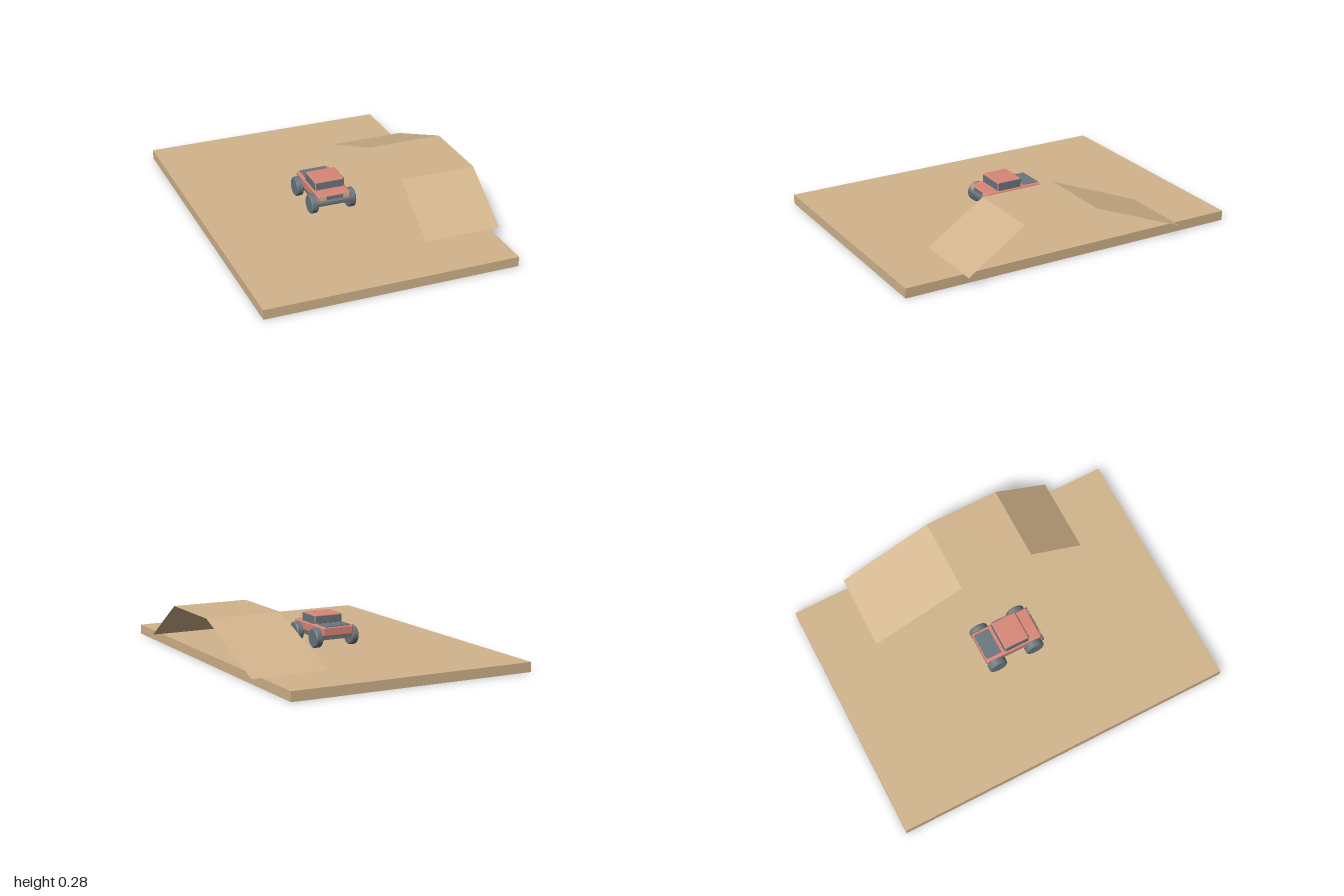
import * as THREE from 'three';
import { RoundedBoxGeometry } from 'three/addons/geometries/RoundedBoxGeometry.js';

function material(name, color, side = THREE.FrontSide) {
  const m = new THREE.MeshStandardMaterial({ color, side });
  m.name = name;
  return m;
}

export function createModel() {
  const tan = material('sand tan', 0xd2b48c);
  const tanSheet = material('ramp tan', 0xd2b48c, THREE.DoubleSide);
  const red = material('coral red', 0xd88676);
  const slate = material('slate grey', 0x69767e);

  const model = new THREE.Group();
  model.name = 'truckAndRamp';

  function add(parent, name, geometry, mat, x = 0, y = 0, z = 0) {
    const mesh = new THREE.Mesh(geometry, mat);
    mesh.name = name;
    mesh.position.set(x, y, z);
    parent.add(mesh);
    return mesh;
  }
  const box = (w, h, d) => new THREE.BoxGeometry(w, h, d);
  const rounded = (w, h, d, r) => new RoundedBoxGeometry(w, h, d, 2, r);

  // Ground slab
  const U = 1 / 18;
  add(model, 'groundSlab', box(26 * U, U, 36 * U), tan, -U / 2, U / 2, 0);

  // Ramp: an open bent sheet with a short front slope, flat top and long back slope
  const profile = [[12 * U, U], [6 * U, 5 * U], [-2 * U, 5 * U], [-12 * U, U]];
  const x0 = 5.5 * U, x1 = 13.5 * U;
  const points = [];
  for (let i = 0; i < 3; i++) {
    const [za, ya] = profile[i], [zb, yb] = profile[i + 1];
    points.push(x0, ya, za, x1, ya, za, x1, yb, zb);
    points.push(x0, ya, za, x1, yb, zb, x0, yb, zb);
  }
  const rampGeometry = new THREE.BufferGeometry();
  rampGeometry.setAttribute('position', new THREE.Float32BufferAttribute(points, 3));
  rampGeometry.computeVertexNormals();
  add(model, 'ramp', rampGeometry, tanSheet);

  // Truck
  const truck = new THREE.Group();
  truck.name = 'truck';
  truck.position.x = -U / 2;
  model.add(truck);

  add(truck, 'body', rounded(0.196, 0.056, 0.348, 0.01), red, 0, 0.149, 0);
  add(truck, 'chassis', box(0.18, 0.026, 0.31), slate, 0, 0.114, 0);
  add(truck, 'frontBumper', rounded(0.216, 0.024, 0.022, 0.005), slate, 0, 0.13, 0.175);
  add(truck, 'bedCover', rounded(0.158, 0.008, 0.094, 0.003), slate, 0, 0.178, -0.122);
  add(truck, 'grille', box(0.098, 0.02, 0.006), slate, 0, 0.158, 0.174);

  // Cabin with thin window plates
  const cabinZ = 0.022;
  add(truck, 'cabin', rounded(0.174, 0.062, 0.15, 0.008), red, 0, 0.197, cabinZ);
  add(truck, 'windshield', rounded(0.162, 0.042, 0.006, 0.002), slate, 0, 0.199, cabinZ + 0.075);
  add(truck, 'rearWindow', rounded(0.162, 0.042, 0.006, 0.002), slate, 0, 0.199, cabinZ - 0.075);

  // Wheel: bevelled solid turned about its axle
  const r = U, h = 0.021, b = 0.006;
  const wheelProfile = [[0, -h], [r - b, -h], [r - b, -h], [r, -h + b], [r, -h + b],
    [r, h - b], [r, h - b], [r - b, h], [r - b, h], [0, h]].map(([x, y]) => new THREE.Vector2(x, y));
  const wheelGeometry = new THREE.LatheGeometry(wheelProfile, 28).rotateZ(Math.PI / 2);

  for (const side of [-1, 1]) {
    const label = side > 0 ? 'left' : 'right';
    add(truck, label + 'Window', rounded(0.006, 0.046, 0.142, 0.002), slate, side * 0.087, 0.199, cabinZ);
    add(truck, label + 'Headlight', box(0.036, 0.02, 0.008), tan, side * 0.07, 0.158, 0.174);
    for (const end of [-1, 1]) {
      add(truck, label + (end > 0 ? 'Front' : 'Rear') + 'Wheel', wheelGeometry, slate,
        side * 0.113, U + r, end * 0.117);
    }
  }
  return model;
}
